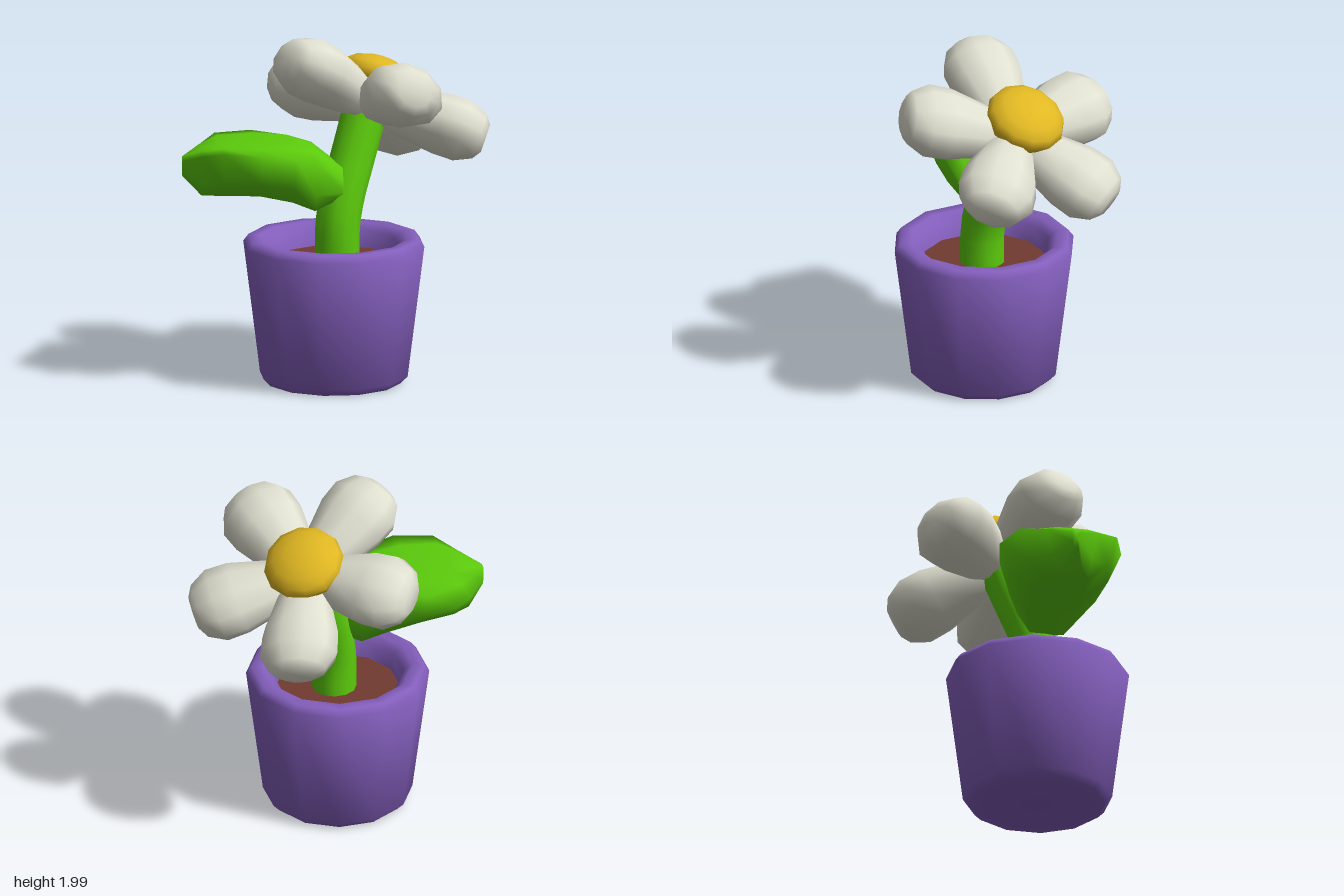
import * as THREE from 'three';
import { toCreasedNormals } from 'three/addons/utils/BufferGeometryUtils.js';

const V = (x, y, z) => new THREE.Vector3(x, y, z);
const material = (name, color) => {
  const m = new THREE.MeshStandardMaterial({ color });
  m.name = name;
  return m;
};

function add(parent, name, geometry, mat) {
  const mesh = new THREE.Mesh(geometry, mat);
  mesh.name = name;
  parent.add(mesh);
  return mesh;
}

// Closed skin over cross-sections that advance along +z, each counterclockwise seen from +z.
function loft(rings) {
  const n = rings[0].length, last = (rings.length - 1) * n;
  const points = rings.flat(), index = [];
  for (let i = 0; i < rings.length - 1; i++) {
    for (let j = 0; j < n; j++) {
      const a = i * n + j, b = i * n + (j + 1) % n;
      index.push(a, b, b + n, a, b + n, a + n);
    }
  }
  const middle = (ring) => ring.reduce((s, p) => s.add(p), V(0, 0, 0)).divideScalar(n);
  const start = points.push(middle(rings[0])) - 1;
  const end = points.push(middle(rings[rings.length - 1])) - 1;
  for (let j = 0; j < n; j++) {
    const k = (j + 1) % n;
    index.push(start, k, j, end, last + j, last + k);
  }
  const g = new THREE.BufferGeometry().setFromPoints(points);
  g.setIndex(index);
  g.computeVertexNormals();
  return g;
}

// Puffy petal: [distance, half width, half thickness, middle height]
function petalGeometry() {
  const sections = [
    [0.0, 0.1, 0.1, -0.04], [0.2, 0.165, 0.14, -0.03], [0.4, 0.22, 0.175, -0.02],
    [0.53, 0.225, 0.175, -0.02], [0.63, 0.165, 0.13, -0.02], [0.665, 0.1, 0.08, -0.02],
  ];
  return loft(sections.map(([z, w, h, y]) => Array.from({ length: 10 }, (_, j) => {
    const a = (j / 10) * Math.PI * 2;
    return V(w * Math.cos(a), y + h * Math.sin(a), z);
  })));
}

// Broad leaf: [distance, half width, top, edge, bottom]
function leafGeometry() {
  const sections = [
    [0.04, 0.09, 1.24, 1.18, 1.07], [0.2, 0.22, 1.36, 1.31, 1.01],
    [0.33, 0.31, 1.39, 1.36, 1.07], [0.52, 0.35, 1.4, 1.385, 1.115],
    [0.73, 0.28, 1.4, 1.39, 1.115], [0.84, 0.145, 1.37, 1.35, 1.11],
    [0.94, 0.025, 1.32, 1.3, 1.21],
  ];
  return loft(sections.map(([z, w, top, edge, bottom]) => {
    const mid = bottom + 0.35 * (edge - bottom);
    return [[1, edge], [0.6, top], [0, top], [-0.6, top], [-1, edge],
      [-0.82, mid], [-0.5, bottom], [0.4, bottom], [0.78, mid]]
      .map(([f, y]) => V(0.09 + f * w, y, z));
  }));
}

export function createModel() {
  const purple = material('purple pot', 0x845fbd);
  const brown = material('brown soil', 0x723b32);
  const green = material('leaf green', 0x5ccb0c);
  const cream = material('petal cream', 0xe0e0d1);
  const yellow = material('flower yellow', 0xe0b722);
  const model = new THREE.Group();
  model.name = 'pottedFlower';

  // Pot with a bevelled foot and a thick rounded rim
  const pot = new THREE.Group();
  pot.name = 'pot';
  pot.position.set(-0.02, 0, 0.095);
  model.add(pot);
  const profile = [[0, 0], [0.38, 0], [0.42, 0.04], [0.515, 0.79], [0.485, 0.83],
    [0.42, 0.83], [0.37, 0.79], [0.345, 0.69]].map(([r, y]) => new THREE.Vector2(r, y));
  add(pot, 'potShell', toCreasedNormals(new THREE.LatheGeometry(profile, 12), 1.0), purple);
  const soil = add(pot, 'soil', new THREE.CircleGeometry(0.355, 12), brown);
  soil.rotation.x = -Math.PI / 2;
  soil.position.y = 0.7;

  // Bent stem
  const path = new THREE.CatmullRomCurve3([V(0, 0.68, 0.09), V(0, 0.9, 0.085),
    V(0, 1.07, 0.04), V(0, 1.25, -0.04), V(0, 1.5, -0.15)]);
  add(model, 'stem', new THREE.TubeGeometry(path, 10, 0.127, 12), green);

  // Leaf reaching to the front
  const leaf = add(model, 'leaf', leafGeometry(), green);
  leaf.rotation.y = -Math.PI / 4;

  // Tilted flower head
  const flower = new THREE.Group();
  flower.name = 'flower';
  flower.position.set(0, 1.587, -0.212);
  flower.rotation.x = -Math.PI / 6;
  model.add(flower);
  const petal = petalGeometry();
  for (let i = 0; i < 5; i++) {
    const mesh = add(flower, 'petal', petal, cream);
    mesh.position.x = 0.025;
    mesh.rotation.y = THREE.MathUtils.degToRad(-15 - 72 * i);
  }
  const center = add(flower, 'flowerCenter', new THREE.SphereGeometry(0.23, 12, 8), yellow);
  center.scale.y = 0.54;
  center.position.y = 0.11;

  return model;
}
